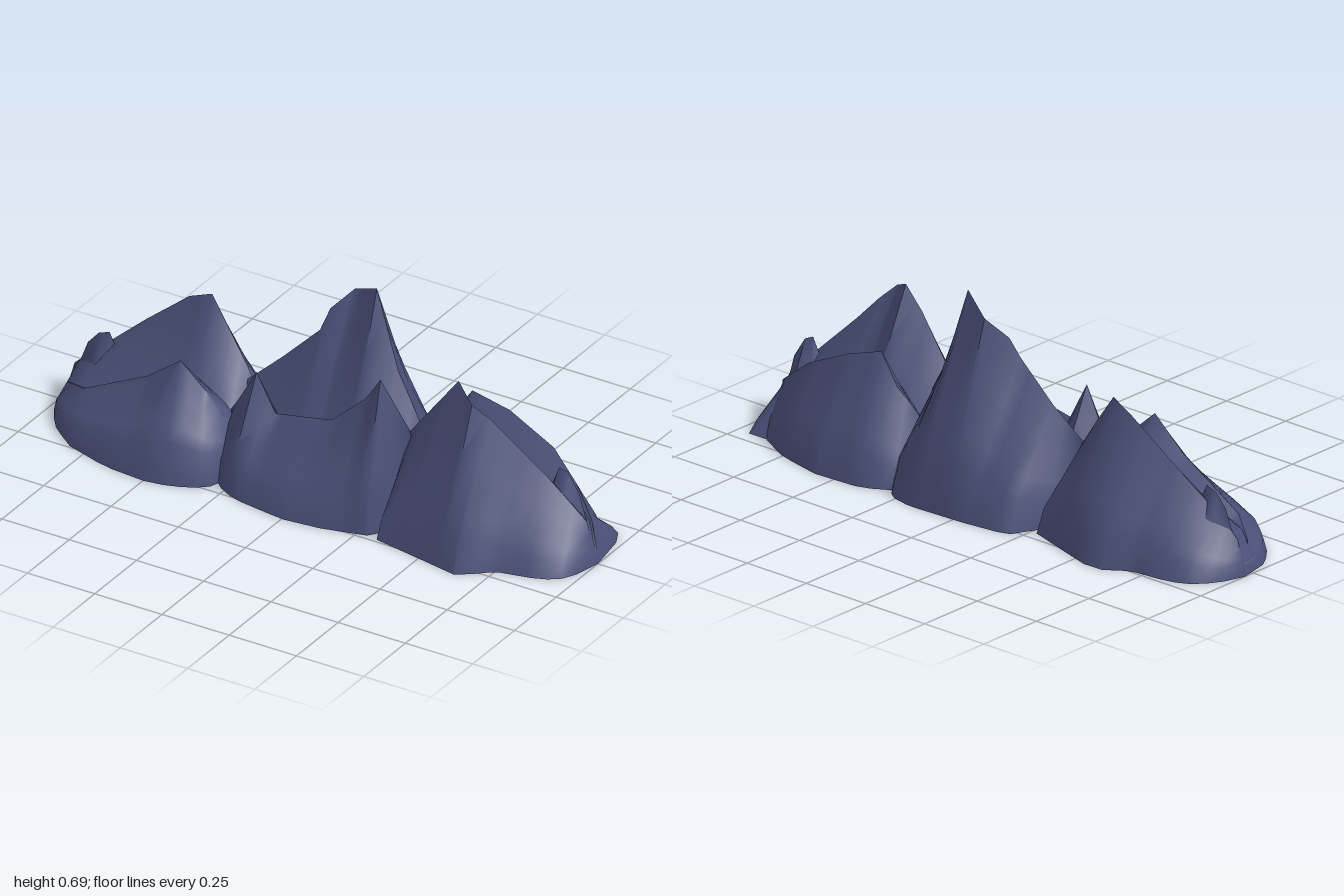
import * as THREE from 'three';
import { mergeVertices, toCreasedNormals } from 'three/addons/utils/BufferGeometryUtils.js';

const rock = new THREE.MeshStandardMaterial({ color: 0x4b5079 });
rock.name = 'slate blue rock';

// Interpolate a polyline of [x, ...values] at x
function sample(line, x) {
  let i = 1;
  while (i < line.length - 1 && x > line[i][0]) i++;
  const a = line[i - 1], b = line[i];
  const t = THREE.MathUtils.clamp((x - a[0]) / (b[0] - a[0]), 0, 1);
  return a.map((v, k) => v + (b[k] - v) * t);
}

// Slope profile: share of the way to the ridge, and extra bulge in height
const SLOPE = [[0, 0], [0.15, 0.13], [0.35, 0.1], [0.7, 0.04], [1, 0]];

// A mass of rock: flanks rise from the front and back foot lines [x, z] to a ridge [x, y, z]
function mass(name, front, back, ridge, bulge = 1) {
  const x0 = front[0][0], x1 = front[front.length - 1][0];
  const r0 = ridge[0][0], r1 = ridge[ridge.length - 1][0];
  const stations = ridge.map(p => (p[0] - r0) / (r1 - r0));
  for (let k = 1; k < 18; k++) {
    const u = (1 - Math.cos(Math.PI * k / 18)) / 2;
    if (stations.every(s => Math.abs(s - u) > 0.015)) stations.push(u);
  }
  stations.sort((a, b) => a - b);

  const positions = [], index = [], n = SLOPE.length * 2 - 1;
  for (const u of stations) {
    const bx = x0 + (x1 - x0) * u;
    const [rx, ry, rz] = sample(ridge, r0 + (r1 - r0) * u);
    for (let i = 0; i < n; i++) {
      const isFront = i < SLOPE.length;
      const [t, extra] = SLOPE[isFront ? i : n - 1 - i];
      const bz = sample(isFront ? front : back, bx)[1];
      positions.push(bx + (rx - bx) * t, ry * (t + extra * bulge), bz + (rz - bz) * t);
    }
  }
  for (let j = 0; j < stations.length - 1; j++) {
    for (let i = 0; i < n; i++) { // the last strip closes the underside
      const k = (i + 1) % n;
      const a = j * n + i, b = a + n, c = (j + 1) * n + k, d = j * n + k;
      index.push(a, b, c, a, c, d);
    }
  }
  const geo = new THREE.BufferGeometry();
  geo.setAttribute('position', new THREE.Float32BufferAttribute(positions, 3));
  geo.setIndex(index);
  const mesh = new THREE.Mesh(toCreasedNormals(mergeVertices(geo, 1e-4), 0.9), rock);
  mesh.name = name;
  return mesh;
}

// Keep a foot line on one side of a given depth
const atLeast = (line, z) => line.map(p => [p[0], Math.max(p[1], z)]);
const atMost = (line, z) => line.map(p => [p[0], Math.min(p[1], z)]);
const inner = (line, z) => line.map((p, i) => [p[0], i === 0 || i === line.length - 1 ? p[1] : z]);

function group(name, ...parts) {
  const g = new THREE.Group();
  g.name = name;
  g.add(...parts);
  return g;
}

export function createModel() {
  // Foot lines of the three mountains
  const rightFront = [[-1, -0.04], [-0.985, 0.06], [-0.93, 0.15], [-0.82, 0.24], [-0.65, 0.295],
    [-0.47, 0.31], [-0.35, 0.27], [-0.28, 0.21], [-0.25, -0.05]];
  const rightBack = [[-1, -0.04], [-0.985, -0.1], [-0.93, -0.19], [-0.85, -0.23], [-0.7, -0.245],
    [-0.6, -0.315], [-0.44, -0.265], [-0.27, -0.21], [-0.25, -0.05]];
  const midFront = [[-0.35, 0.02], [-0.33, 0.15], [-0.28, 0.21], [-0.2, 0.255], [0, 0.285],
    [0.14, 0.27], [0.31, 0.225], [0.37, 0]];
  const midBack = [[-0.35, 0.02], [-0.25, -0.2], [-0.21, -0.28], [-0.04, -0.3], [0.18, -0.31],
    [0.27, -0.29], [0.33, -0.22], [0.37, 0]];
  const leftFront = [[0.28, 0], [0.31, 0.235], [0.5, 0.27], [0.66, 0.3], [0.75, 0.215],
    [0.9, 0.18], [0.97, 0.13], [1, 0]];
  const leftBack = [[0.28, 0], [0.29, -0.24], [0.39, -0.3], [0.58, -0.31], [0.75, -0.27],
    [0.88, -0.2], [0.97, -0.1], [1, 0]];

  const range = group('mountainRange',
    group('rightMountain',
      mass('rightMainRidge', atMost(rightFront, 0.16), rightBack,
        [[-0.97, 0.12, -0.04], [-0.88, 0.2, -0.05], [-0.73, 0.33, -0.08], [-0.58, 0.45, -0.1],
          [-0.49, 0.49, -0.09], [-0.41, 0.39, -0.07], [-0.32, 0.27, -0.05]]),
      mass('rightFrontSpur', rightFront, atLeast(inner(rightBack, -0.08), -0.08),
        [[-0.95, 0.09, 0.03], [-0.85, 0.13, 0.1], [-0.6, 0.26, 0.12], [-0.47, 0.36, 0.13],
          [-0.38, 0.28, 0.13], [-0.32, 0.2, 0.12]], 2),
      mass('rightHorn', [[-0.99, -0.04], [-0.88, 0.06], [-0.77, -0.04]],
        [[-0.99, -0.04], [-0.88, -0.15], [-0.77, -0.04]],
        [[-0.92, 0.21, -0.04], [-0.88, 0.255, -0.04], [-0.84, 0.27, -0.04], [-0.81, 0.21, -0.04]])),
    group('middleMountain',
      mass('middleMainRidge', atMost(midFront, 0.15), midBack,
        [[-0.32, 0.26, -0.03], [-0.2, 0.37, -0.05], [-0.07, 0.5, -0.06], [-0.05, 0.57, -0.09],
          [0.01, 0.635, -0.14], [0.12, 0.69, -0.095], [0.22, 0.44, -0.06], [0.32, 0.28, -0.04]]),
      mass('middleFrontSpur', midFront, inner(midBack, -0.08),
        [[-0.32, 0.2, 0.07], [-0.27, 0.27, 0.1], [-0.2, 0.39, 0.11], [-0.13, 0.26, 0.11],
          [0.08, 0.3, 0.11], [0.2, 0.41, 0.1], [0.26, 0.5, 0.11], [0.35, 0.33, 0.08]], 1)),
    group('leftMountain',
      mass('leftMainRidge', leftFront, inner(leftBack, -0.2),
        [[0.32, 0.29, 0.05], [0.36, 0.34, 0.06], [0.46, 0.47, 0.07], [0.52, 0.55, 0.06],
          [0.6, 0.51, 0.11], [0.65, 0.46, 0.08], [0.72, 0.38, 0.05], [0.83, 0.27, 0.02],
          [0.96, 0.14, 0]], 0.5),
      mass('leftBackSpur', atMost(leftFront, 0.05), leftBack,
        [[0.33, 0.24, -0.12], [0.38, 0.3, -0.14], [0.45, 0.4, -0.135], [0.58, 0.36, -0.15],
          [0.75, 0.28, -0.14], [0.86, 0.2, -0.1], [0.96, 0.13, -0.03]]),
      mass('leftHorn', [[0.76, 0], [0.87, 0.1], [0.99, 0]], [[0.76, 0], [0.87, -0.13], [0.99, 0]],
        [[0.83, 0.24, 0], [0.85, 0.3, -0.01], [0.875, 0.29, -0.02], [0.92, 0.22, -0.02]])));
  return range;
}
